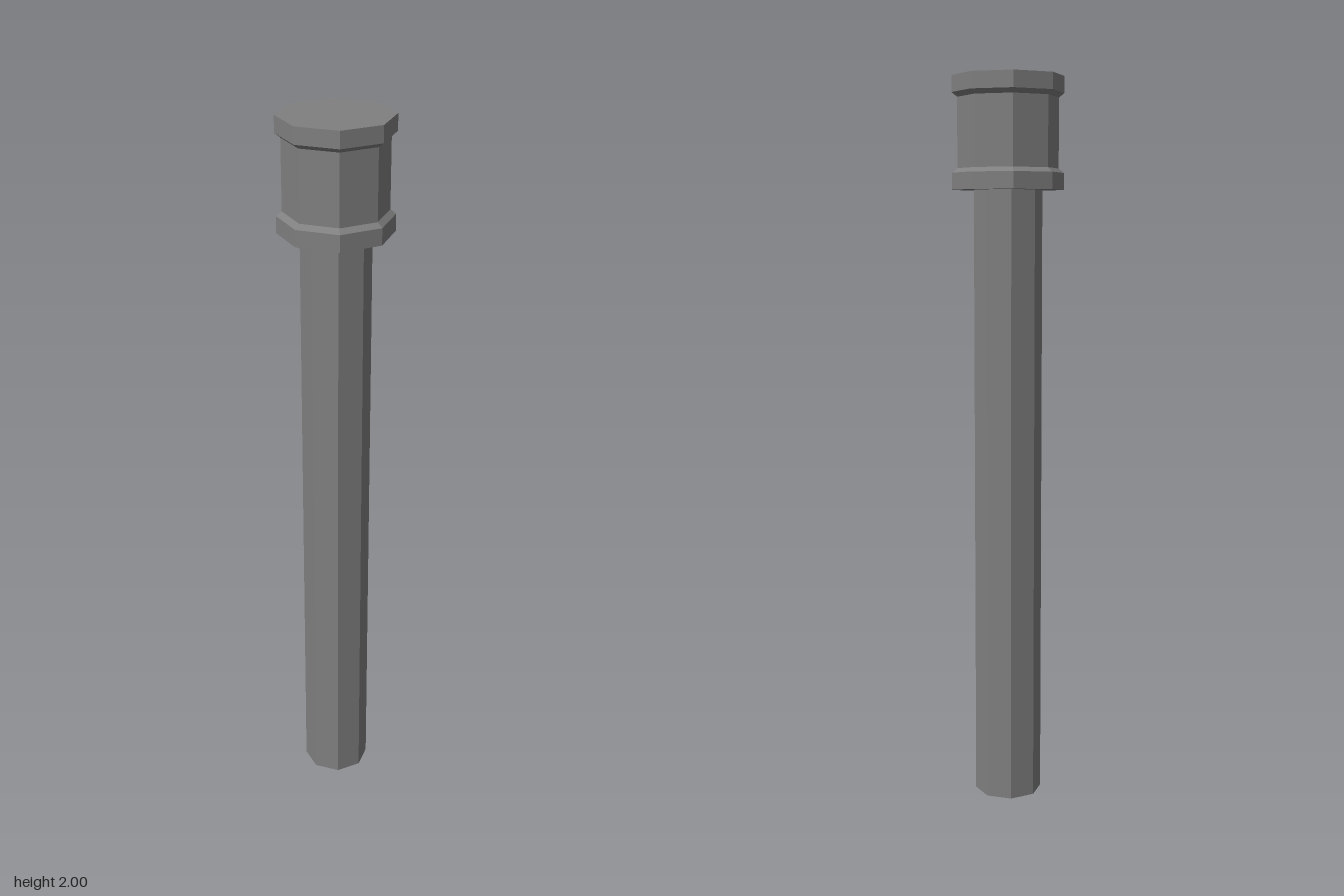
import * as THREE from 'three';

const SIDES = 8;

export function createModel() {
  const model = new THREE.Group();
  model.name = 'octagonalPost';
  const metal = new THREE.MeshStandardMaterial({ color: 0x808080 });
  metal.name = 'grey metal';

  // Faceted solid of revolution with corners on the x and z axes
  const addTurned = (name, profile) => {
    const points = profile.map(([r, y]) => new THREE.Vector2(r, y));
    const geometry = new THREE.LatheGeometry(points, SIDES).toNonIndexed();
    geometry.computeVertexNormals(); // flat facets
    const mesh = new THREE.Mesh(geometry, metal);
    mesh.name = name;
    model.add(mesh);
  };

  // Long plain shaft
  addTurned('shaft', [[0, 0], [0.093, 0], [0.093, 1.7]]);

  // Head: lower collar, drum and upper collar with bevelled inner edges
  addTurned('head', [
    [0, 1.7], [0.152, 1.7], [0.152, 1.745], [0.137, 1.757],
    [0.137, 1.944], [0.152, 1.956], [0.152, 2], [0, 2],
  ]);

  return model;
}
